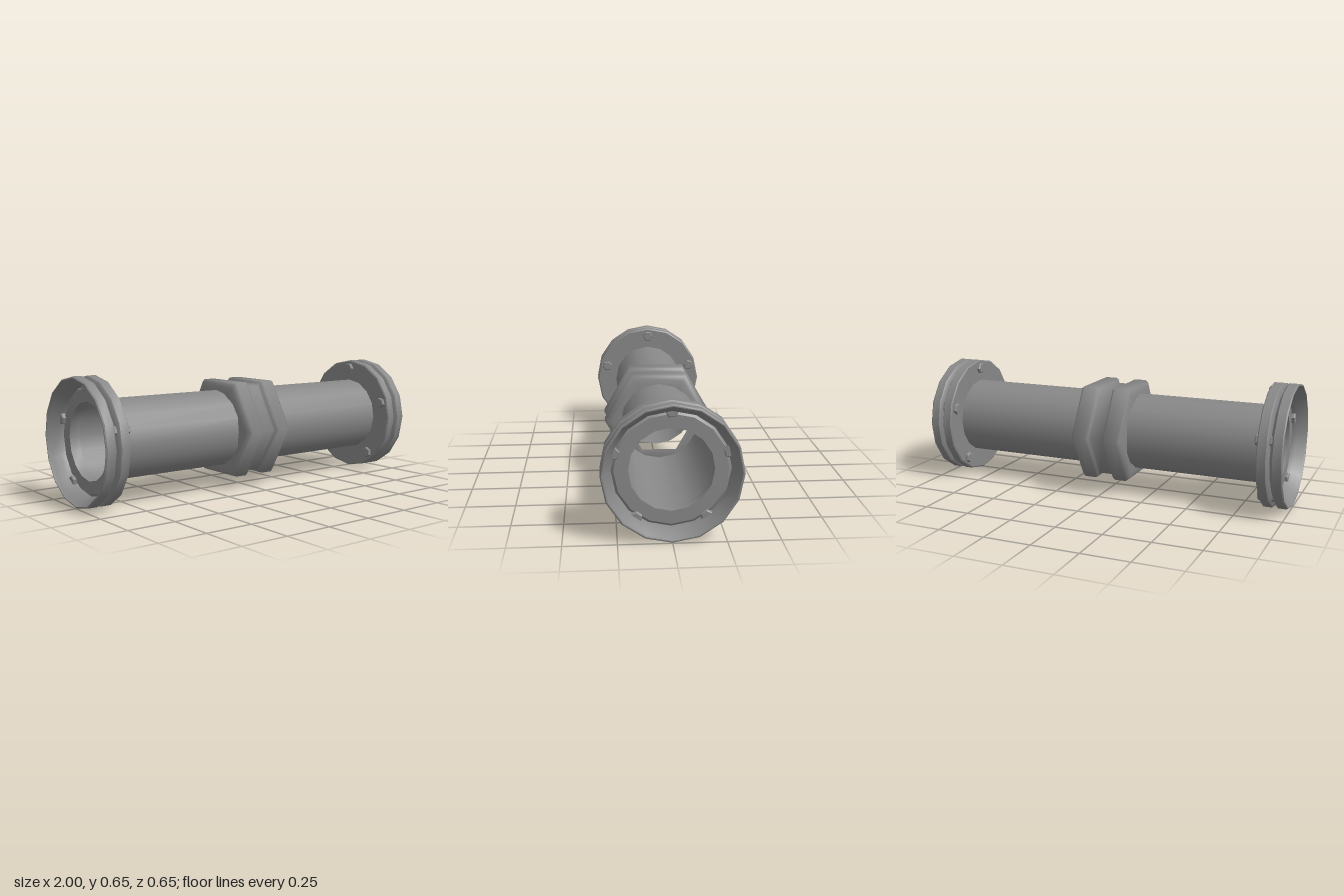
import * as THREE from 'three';
import { toCreasedNormals } from 'three/addons/utils/BufferGeometryUtils.js';

const AXIS_Y = 0.325;
const COLOR = 0x888888;
const material = new THREE.MeshStandardMaterial({ color: COLOR });
const thinMaterial = new THREE.MeshStandardMaterial({ color: COLOR, side: THREE.DoubleSide });

// Turns a profile of [x, radius] pairs around the x axis
function turned(name, profile, sides, crease, mat = material) {
  const points = profile.map(([x, r]) => new THREE.Vector2(r, x));
  let geometry = new THREE.LatheGeometry(points, sides).rotateZ(-Math.PI / 2);
  if (crease) geometry = toCreasedNormals(geometry, crease);
  const mesh = new THREE.Mesh(geometry, mat);
  mesh.name = name;
  return mesh;
}

// Cupped end flange with a V groove, a raised inner plate and five hexagonal bolts, on the +x end
function createFlange() {
  const flange = new THREE.Group();
  flange.add(turned('flangeRing', [
    [0.925, 0.198], [0.87, 0.198], [0.87, 0.318], [0.875, 0.325], [0.918, 0.325], [0.924, 0.319],
    [0.931, 0.288], [0.936, 0.292], [0.944, 0.318], [0.951, 0.325], [0.994, 0.325], [1, 0.32],
    [1, 0.315], [0.985, 0.308], [0.945, 0.281], [0.915, 0.275], [0.925, 0.263], [0.925, 0.198],
  ], 16, 0.6));
  for (let i = 0; i < 5; i++) {
    const pivot = new THREE.Group();
    pivot.name = 'flangeBolt';
    pivot.rotation.x = (i * Math.PI * 2) / 5;
    const bolt = turned('boltHead', [
      [0.853, 0], [0.853, 0.026], [0.858, 0.031], [0.937, 0.031], [0.942, 0.026], [0.942, 0],
    ], 6, 0.5);
    bolt.position.y = 0.277;
    pivot.add(bolt);
    flange.add(pivot);
  }
  return flange;
}

export function createModel() {
  const model = new THREE.Group();
  model.name = 'pipeCoupling';
  const body = new THREE.Group();
  body.name = 'pipeAssembly';
  body.position.y = AXIS_Y;
  model.add(body);

  // Two thin open pipes and flanges, the second turned about the middle
  [['left', 0], ['right', Math.PI]].forEach(([side, turn]) => {
    const half = new THREE.Group();
    half.name = side + 'Half';
    half.rotation.y = turn;
    const flange = createFlange();
    flange.name = side + 'Flange';
    half.add(turned(side + 'Pipe', [[0.1, 0.206], [0.88, 0.206]], 16, 0, thinMaterial), flange);
    body.add(half);
  });

  // Double hexagonal coupling nut, soft edged, open through the middle
  const halfProfile = [
    [0.035, 0.263], [0.042, 0.281], [0.056, 0.292], [0.12, 0.292], [0.136, 0.279],
    [0.142, 0.255], [0.151, 0.21], [0.147, 0.183],
  ];
  const mirrored = halfProfile.map(([x, r]) => [-x, r]).reverse();
  body.add(turned('couplingNut', [...mirrored, ...halfProfile], 6, 0));
  return model;
}
